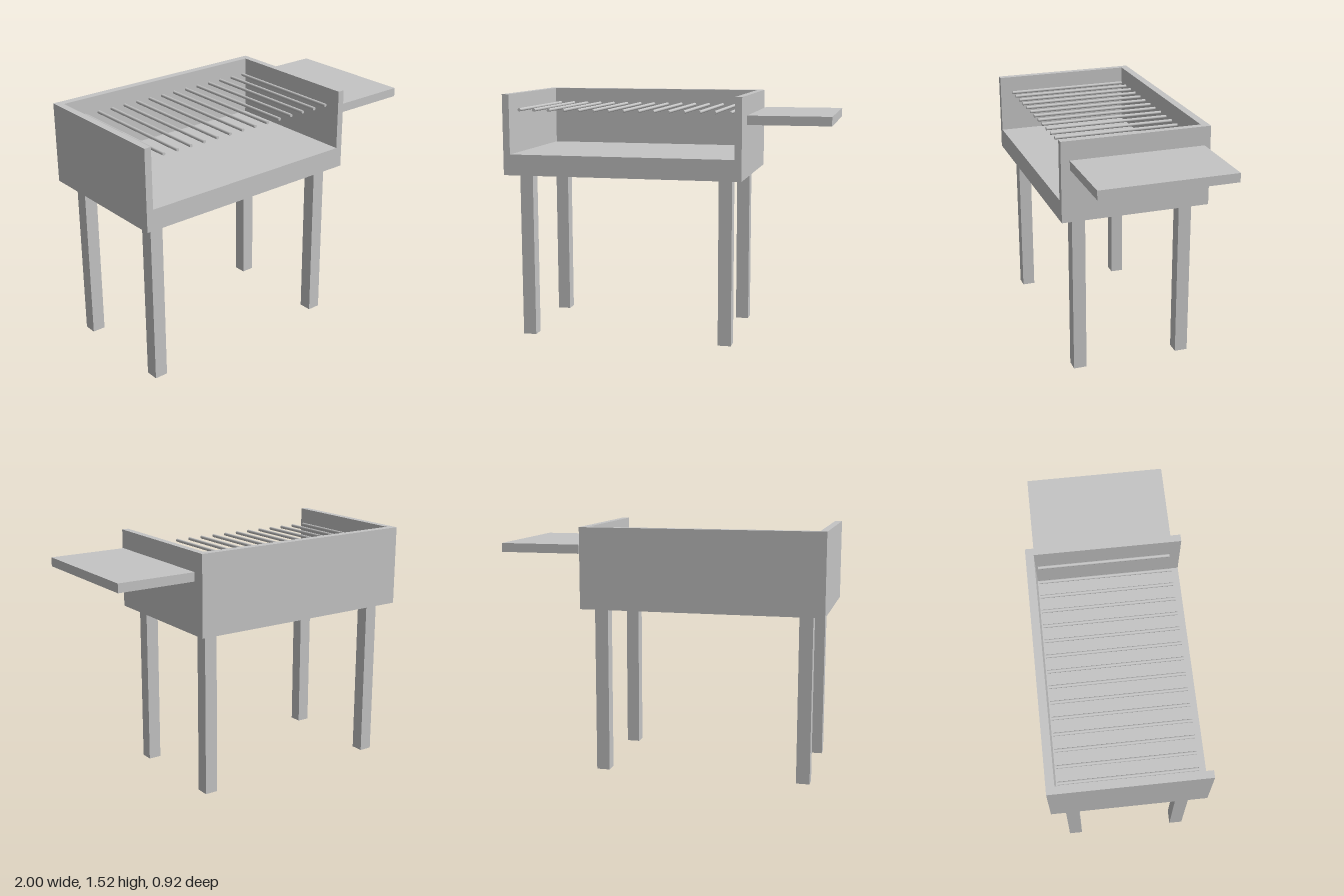
import * as THREE from 'three';

export function createModel() {
  const group = new THREE.Group();
  const grey = new THREE.MeshStandardMaterial({ color: 0xc5c5c5 });
  grey.name = 'light grey metal';

  const add = (name, geometry, x, y, z) => {
    const mesh = new THREE.Mesh(geometry, grey);
    mesh.name = name;
    mesh.position.set(x, y, z);
    group.add(mesh);
  };
  // Box given by its limits on each axis
  const box = (name, [x0, x1], [y0, y1], [z0, z1]) =>
    add(name, new THREE.BoxGeometry(x1 - x0, y1 - y0, z1 - z0),
      (x0 + x1) / 2, (y0 + y1) / 2, (z0 + z1) / 2);

  // Firebox: floor and side walls as one U-shaped section, open at the front
  const section = new THREE.Shape([
    [-1, 1.026], [0.483, 1.026], [0.483, 1.523], [0.44, 1.523],
    [0.44, 1.155], [-0.957, 1.155], [-0.957, 1.523], [-1, 1.523],
  ].map(([x, y]) => new THREE.Vector2(x, y)));
  add('firebox', new THREE.ExtrudeGeometry(section, { depth: 0.875, bevelEnabled: false }), 0, 0, -0.413);
  box('backWall', [-1, 0.483], [1.026, 1.523], [-0.462, -0.413]);

  // Grill bars running front to back
  const barGeometry = new THREE.CylinderGeometry(0.01, 0.01, 0.79, 16).rotateX(Math.PI / 2);
  for (let i = 0; i < 15; i++) {
    add('grillBar', barGeometry, -0.918 + i * 0.0942, 1.425, -0.003);
  }

  // Side shelf, set just clear of the firebox
  box('sideShelf', [0.504, 1], [1.358, 1.413], [-0.415, 0.415]);

  // Four square legs
  for (const x of [-0.883, 0.373]) {
    for (const z of [-0.34, 0.34]) {
      box('leg', [x - 0.041, x + 0.041], [0, 1.026], [z - 0.041, z + 0.041]);
    }
  }
  return group;
}
